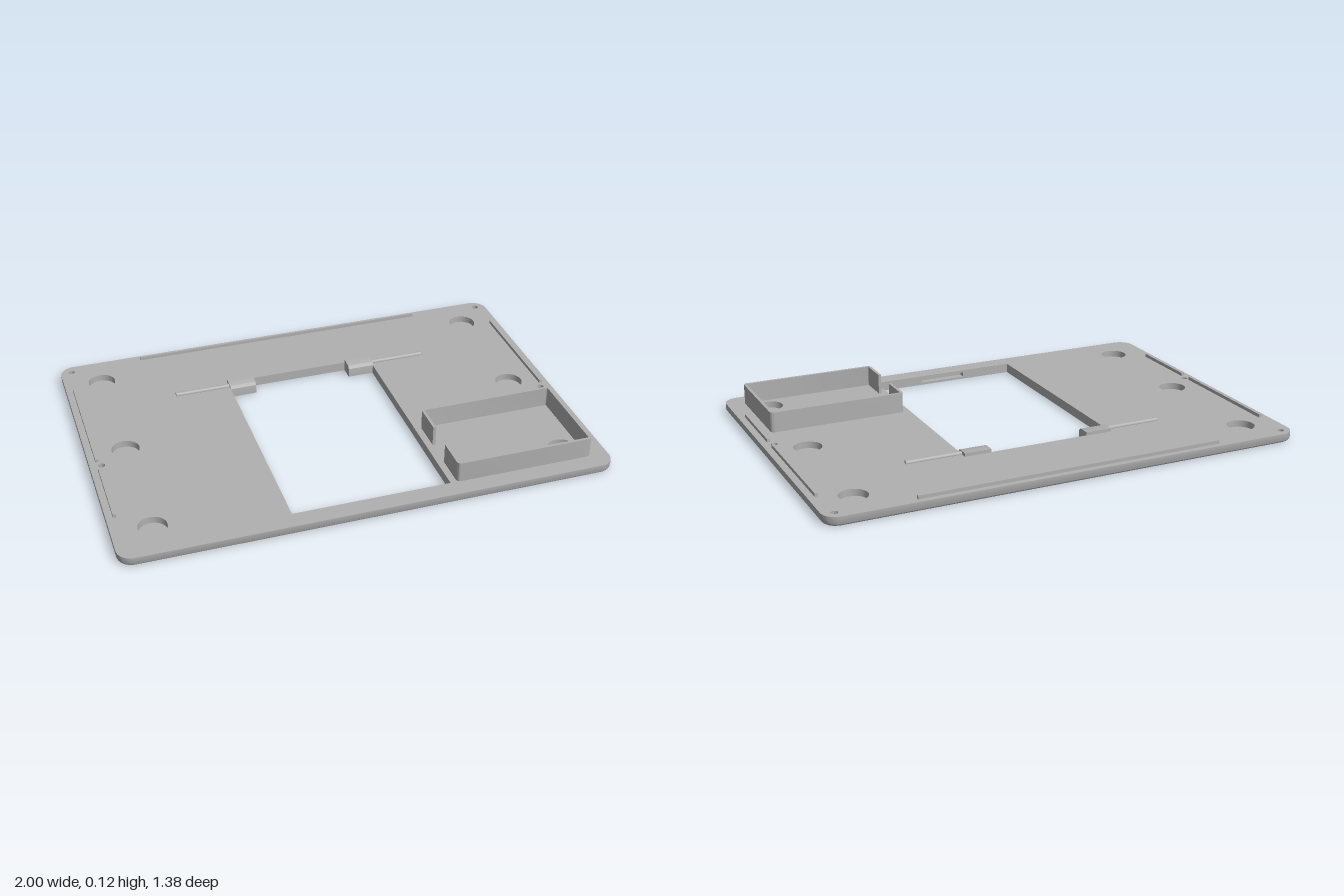
import * as THREE from 'three';
import { toCreasedNormals } from 'three/addons/utils/BufferGeometryUtils.js';

const grey = new THREE.MeshStandardMaterial({ color: 0xb0b0b0 });
grey.name = 'plain grey';
const TOP = 0.04;

const v = (x, z) => new THREE.Vector2(x, z);

// counter-clockwise outlines in x/z
function circle(cx, cz, r, n = 32) {
  return Array.from({ length: n }, (_, i) => {
    const a = (i / n) * Math.PI * 2;
    return v(cx + r * Math.cos(a), cz + r * Math.sin(a));
  });
}

function roundedRect(hw, hd, r, n = 8) {
  const pts = [];
  [[1, 1], [-1, 1], [-1, -1], [1, -1]].forEach(([sx, sz], q) => {
    for (let i = 0; i <= n; i++) {
      const a = (q + i / n) * Math.PI / 2;
      pts.push(v(sx * (hw - r) + r * Math.cos(a), sz * (hd - r) + r * Math.sin(a)));
    }
  });
  return pts;
}

// flat face with holes at height y
function face(outline, holes, y, up) {
  const shape = new THREE.Shape(outline);
  holes.forEach(h => shape.holes.push(new THREE.Path(h)));
  const g = new THREE.ShapeGeometry(shape).rotateX(Math.PI / 2);
  if (up) {
    const idx = g.index.array;
    for (let i = 0; i < idx.length; i += 3) [idx[i], idx[i + 1]] = [idx[i + 1], idx[i]];
    g.computeVertexNormals();
  }
  return g.translate(0, y, 0);
}

// wall joining stacked outlines; faces inward unless outward is set
function wall(rings, outward = false, closed = true) {
  const pos = [];
  for (let k = 0; k + 1 < rings.length; k++) {
    const [lo, y0] = rings[k], [hi, y1] = rings[k + 1], n = lo.length;
    for (let i = 0; i < (closed ? n : n - 1); i++) {
      const j = (i + 1) % n;
      const a = [lo[i].x, y0, lo[i].y], b = [lo[j].x, y0, lo[j].y];
      const c = [hi[j].x, y1, hi[j].y], d = [hi[i].x, y1, hi[i].y];
      const quad = outward ? [a, c, b, a, d, c] : [a, b, c, a, c, d];
      pos.push(...quad.flat());
    }
  }
  const g = new THREE.BufferGeometry();
  g.setAttribute('position', new THREE.Float32BufferAttribute(pos, 3));
  g.computeVertexNormals();
  return toCreasedNormals(g, 0.6);
}

export function createModel() {
  const model = new THREE.Group();
  const add = (name, geo, parent = model) => {
    const m = new THREE.Mesh(geo, grey);
    m.name = name;
    parent.add(m);
    return m;
  };
  const box = (name, x0, x1, y0, y1, z0, z1) =>
    add(name, new THREE.BoxGeometry(x1 - x0, y1 - y0, z1 - z0)
      .translate((x0 + x1) / 2, (y0 + y1) / 2, (z0 + z1) / 2));
  const pocket = (name, outline, top, floor) => {
    const g = new THREE.Group();
    g.name = name;
    add('pocketWall', wall([[outline, floor], [outline, top]]), g);
    add('pocketFloor', face(outline, [], floor, true), g);
    model.add(g);
    return g;
  };

  // base plate: rounded lower edge, window, screw holes and magnet pockets
  const E = 0.3225, BACK = -0.36, FRONT = 0.612;
  const opening = [v(-E, FRONT), v(-E, BACK), v(E, BACK), v(E, FRONT)];
  const screws = [], magnets = [];
  for (const s of [-1, 1]) {
    for (const z of [-0.645, 0.083]) screws.push(circle(s * 0.953, z, 0.014, 20));
    for (const z of [-0.528, 0, 0.525]) magnets.push(circle(s * 0.84, z, 0.057, 40));
  }
  const R = 0.018;
  const rings = [];
  for (let i = 0; i <= 4; i++) {
    const a = (i / 4) * Math.PI / 2, inset = R * (1 - Math.sin(a));
    rings.push([roundedRect(1 - inset, 0.688 - inset, 0.06 - inset), R * (1 - Math.cos(a))]);
  }
  const outer = rings[4][0];
  rings.push([outer, TOP]);
  add('plateEdge', wall(rings, true));
  add('plateTop', face(outer, [opening, ...screws, ...magnets], TOP, true));
  add('plateBottom', face(rings[0][0], [opening, ...screws], 0, false));
  screws.forEach(c => add('screwHole', wall([[c, 0], [c, TOP]])));
  magnets.forEach(c => pocket('roundPocket', c, TOP, 0.012));
  add('windowWall', wall([[opening, 0], [opening, TOP]], false, false));

  // front wall of the window, with a latch slot cut into it
  const slot = [v(-0.1, 0.01), v(0.1, 0.01), v(0.1, 0.03), v(-0.1, 0.03)];
  const front = new THREE.Shape([v(-E, 0), v(E, 0), v(E, TOP), v(-E, TOP)]);
  front.holes.push(new THREE.Path(slot));
  add('windowFrontWall', new THREE.ShapeGeometry(front).rotateY(Math.PI).translate(0, 0, FRONT));
  const latch = pocket('latchSlot', slot, 0, -0.03);
  latch.rotation.x = -Math.PI / 2;
  latch.position.z = FRONT;

  // locating ribs along the back and sides
  box('backRib', -0.645, 0.642, TOP, 0.054, -0.665, -0.653);
  for (const s of [-1, 1])
    for (const [z0, z1] of [[-0.485, 0.055], [0.115, 0.43]])
      box('sideRib', s * 0.966 - 0.006, s * 0.966 + 0.006, TOP, 0.054, z0, z1);

  // hinge knuckles with rounded noses, and their pins
  const knuckle = new THREE.Shape();
  knuckle.moveTo(0.362, 0.002);
  knuckle.lineTo(0.362, 0.054);
  knuckle.lineTo(0.318, 0.054);
  knuckle.absarc(0.318, 0.036, 0.018, Math.PI / 2, Math.PI, false);
  knuckle.lineTo(0.3, 0.002);
  const knuckleGeo = toCreasedNormals(new THREE.ExtrudeGeometry(knuckle,
    { depth: 0.113, bevelEnabled: false, curveSegments: 8 }), 0.6).rotateY(Math.PI / 2);
  for (const s of [-1, 1]) {
    add('hingeKnuckle', knuckleGeo).position.x = s < 0 ? -0.324 : 0.211;
    add('hingePin', new THREE.CylinderGeometry(0.01, 0.01, 0.235, 16)
      .rotateZ(Math.PI / 2).translate(s * 0.4405, 0.042, -0.327));
  }

  // battery tray: one wall loop with a gap on its inner side
  const x0 = 0.35, x1 = 0.925, z0 = 0.21, z1 = 0.614, t = 0.012, r = 0.016, ri = r - t;
  const tray = new THREE.Shape();
  tray.moveTo(x0, 0.35);
  tray.lineTo(x0, z0 + r);
  tray.absarc(x0 + r, z0 + r, r, Math.PI, Math.PI * 1.5, false);
  tray.absarc(x1 - r, z0 + r, r, -Math.PI / 2, 0, false);
  tray.absarc(x1 - r, z1 - r, r, 0, Math.PI / 2, false);
  tray.absarc(x0 + r, z1 - r, r, Math.PI / 2, Math.PI, false);
  tray.lineTo(x0, 0.475);
  tray.lineTo(x0 + t, 0.475);
  tray.absarc(x0 + r, z1 - r, ri, Math.PI, Math.PI / 2, true);
  tray.absarc(x1 - r, z1 - r, ri, Math.PI / 2, 0, true);
  tray.absarc(x1 - r, z0 + r, ri, 0, -Math.PI / 2, true);
  tray.absarc(x0 + r, z0 + r, ri, Math.PI * 1.5, Math.PI, true);
  tray.lineTo(x0 + t, 0.35);
  const trayGeo = new THREE.ExtrudeGeometry(tray,
    { depth: 0.125 - TOP, bevelEnabled: false, curveSegments: 5 });
  add('batteryTray', toCreasedNormals(trayGeo.rotateX(Math.PI / 2), 0.6)).position.y = 0.125;

  return model;
}
